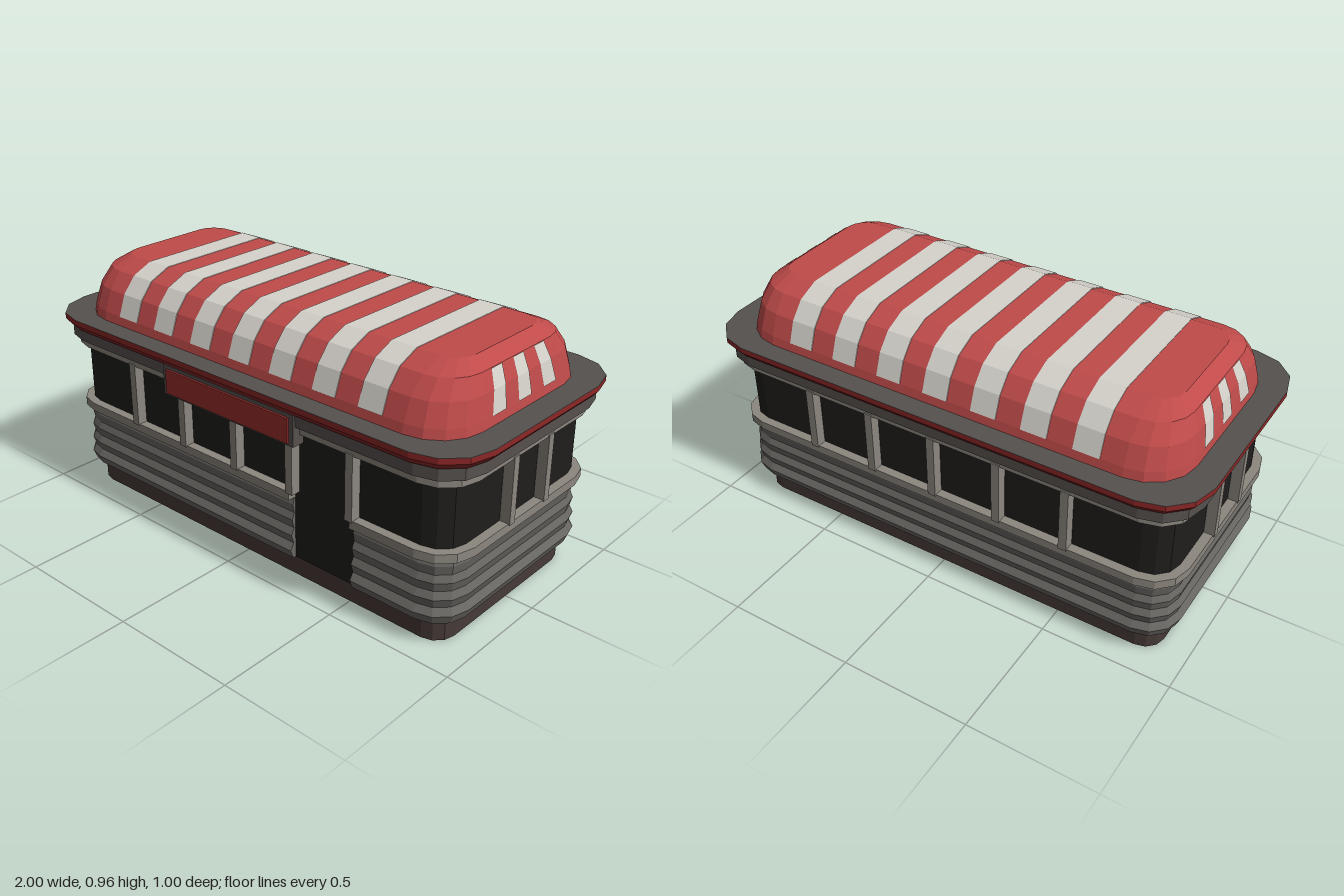
import * as THREE from 'three';

const paint = (color) => new THREE.MeshStandardMaterial({ color, flatShading: true, side: THREE.DoubleSide });
const mats = {
  plinth: paint(0x463a37), ribs: paint(0x686662), chrome: paint(0x8c877f), glass: paint(0x1f1e1d),
  cornice: paint(0x56514e), eave: paint(0x8c2626), dome: paint(0xbf4b4a), stripe: paint(0xd6d3cc), sign: paint(0x9c2e2e),
};
const CORE_X = 0.81, CORE_Z = 0.31;   // corner centres shared by all wall bands
const DOOR = [0.265, 0.54];           // doorway span on the front wall

// Rounded rectangle outline; with a gap it is an open path broken on the front side.
function outline(hx, hz, r, segs, gap) {
  const pts = [];
  if (gap) pts.push([gap[0], hz]);
  [[-1, 1], [-1, -1], [1, -1], [1, 1]].forEach(([sx, sz], c) => {
    for (let k = 0; k <= segs; k++) {
      const a = (c + 1 + k / segs) * Math.PI / 2;
      pts.push([sx * (hx - r) + r * Math.cos(a), sz * (hz - r) + r * Math.sin(a)]);
    }
  });
  if (gap) pts.push([gap[1], hz]);
  return pts;
}

// Skins a stack of outlines; levels are [halfX, halfZ, radius, y].
function loft(levels, { segs = 3, gap = null, capTop = false, capBottom = false } = {}) {
  const pos = [], index = [];
  const n = outline(1, 1, 0.1, segs, gap).length;
  levels.forEach(([hx, hz, r, y]) => outline(hx, hz, r, segs, gap).forEach(([x, z]) => pos.push(x, y, z)));
  for (let j = 0; j < levels.length - 1; j++) {
    for (let i = 0; i < (gap ? n - 1 : n); i++) {
      const a = j * n + i, b = j * n + (i + 1) % n;
      index.push(a, a + n, b, b, a + n, b + n);
    }
  }
  const cap = (level, up) => {
    const c = pos.length / 3, s = level * n;
    pos.push(0, levels[level][3], 0);
    for (let i = 0; i < n; i++) {
      const a = s + i, b = s + (i + 1) % n;
      index.push(c, up ? b : a, up ? a : b);
    }
  };
  if (capTop) cap(levels.length - 1, true);
  if (capBottom) cap(0, false);
  const g = new THREE.BufferGeometry();
  g.setAttribute('position', new THREE.Float32BufferAttribute(pos, 3));
  g.setIndex(index);
  const flat = g.toNonIndexed();
  flat.computeVertexNormals();
  return flat;
}

// Wall band from a profile of [offset from core, y].
const band = (profile, opts) => loft(profile.map(([r, y]) => [CORE_X + r, CORE_Z + r, r, y]), opts);

export function createModel() {
  const model = new THREE.Group();
  const add = (name, geo, mat, parent = model) => {
    const m = new THREE.Mesh(geo, mat);
    m.name = name;
    parent.add(m);
    return m;
  };
  const box = (name, x0, x1, y0, y1, z0, z1, mat, parent) =>
    add(name, new THREE.BoxGeometry(x1 - x0, y1 - y0, z1 - z0), mat, parent)
      .position.set((x0 + x1) / 2, (y0 + y1) / 2, (z0 + z1) / 2);

  // Plinth and dark inner body, which shows as the windows and the door
  add('plinth', band([[0.08, 0], [0.08, 0.095]], { capBottom: true }), mats.plinth);
  add('windowsAndDoor', band([[0.105, 0.095], [0.105, 0.625]], { capTop: true, capBottom: true }), mats.glass);

  // Ribbed lower wall and sill, both interrupted by the doorway
  const ribs = [[0.08, 0.095], [0.118, 0.095]];
  for (let i = 0; i < 4; i++) {
    ribs.push([0.132 - i * 0.005, 0.13 + i * 0.0615], [0.115 - i * 0.002, 0.1565 + i * 0.0615]);
  }
  const sill = [[0.1, 0.341], [0.14, 0.341], [0.14, 0.375], [0.1, 0.375]];
  const cutBand = (name, profile, mat) => {
    const g = new THREE.Group();
    g.name = name;
    model.add(g);
    add(name + 'Skin', band(profile, { gap: DOOR }), mat, g);
    const section = profile.map(([r, y]) => new THREE.Vector2(CORE_Z + r, y));
    section.push(new THREE.Vector2(CORE_Z + 0.08, profile.at(-1)[1]));
    DOOR.forEach((x) => {
      const jamb = new THREE.ShapeGeometry(new THREE.Shape(section)).rotateY(-Math.PI / 2);
      add(name + 'Jamb', jamb.translate(x, 0, 0), mat, g);
    });
  };
  cutBand('ribbedWall', ribs, mats.ribs);
  cutBand('sill', sill, mats.chrome);

  // Header, cornice and flared eave
  add('header', band([[0.1, 0.617], [0.14, 0.617], [0.14, 0.655]]), mats.chrome);
  add('cornice', band([[0.1, 0.653], [0.163, 0.653], [0.163, 0.702]]), mats.cornice);
  add('eave', band([[0.16, 0.7], [0.17, 0.7], [0.19, 0.724], [0.19, 0.745]]), mats.eave);
  add('roofDeck', band([[0.19, 0.744], [0.19, 0.746]], { capTop: true }), mats.cornice);

  // Window posts
  const posts = new THREE.Group();
  posts.name = 'windowPosts';
  model.add(posts);
  for (const s of [-1, 1]) {
    for (let i = -2; i <= 2; i++) {
      const post = add('windowPost', new THREE.BoxGeometry(0.032, 0.255, 0.045), mats.chrome, posts);
      post.position.set(i * 0.27, 0.4975, s * 0.4325);
    }
    for (const z of [-0.105, 0.105]) {
      const post = add('endWindowPost', new THREE.BoxGeometry(0.045, 0.255, 0.03), mats.chrome, posts);
      post.position.set(s * 0.9325, 0.4975, z);
    }
  }

  // Sign board over the front windows
  box('signFrame', -0.325, 0.32, 0.58, 0.7, 0.43, 0.482, mats.cornice);
  box('signPanel', -0.305, 0.3, 0.59, 0.685, 0.48, 0.49, mats.sign);

  // Domed roof
  const dome = [
    [0.905, 0.42, 0.18, 0.745], [0.9, 0.413, 0.175, 0.78], [0.885, 0.383, 0.16, 0.86],
    [0.86, 0.33, 0.13, 0.922], [0.81, 0.245, 0.08, 0.958],
  ];
  add('domeRoof', loft(dome, { segs: 4, capTop: true }), mats.dome);

  // Stripes across the dome
  const lift = 0.003;
  const arch = dome.slice(1).map(([, hz, , y]) => [hz + lift, y + (y > 0.8 ? 0.002 : 0)]);
  const archShape = new THREE.Shape([
    ...arch.map(([z, y]) => new THREE.Vector2(z, y)),
    ...arch.map(([z, y]) => new THREE.Vector2(-z, y)).reverse(),
  ]);
  for (let i = -3; i <= 3; i++) {
    const g = new THREE.ExtrudeGeometry(archShape, { depth: 0.1, bevelEnabled: false });
    add('roofStripe', g.translate(0, 0, -0.05).rotateY(-Math.PI / 2).translate(i * 0.197, 0, 0), mats.stripe);
  }

  // Short tapering stripes on both dome ends
  for (const s of [-1, 1]) {
    for (const [b0, b1, t0, t1] of [[-0.187, -0.112, -0.152, -0.093], [-0.037, 0.037, -0.03, 0.03], [0.112, 0.187, 0.093, 0.152]]) {
      const g = new THREE.PlaneGeometry(1, 1, 1, 2);
      const p = g.attributes.position;
      for (let i = 0; i < p.count; i++) {
        const [hx, , , y] = dome[Math.round((p.getY(i) + 0.5) * 2) + 1];
        const t = (y - 0.78) / 0.142;
        const u = 0.5 - s * p.getX(i);
        const z0 = THREE.MathUtils.lerp(b0, t0, t), z1 = THREE.MathUtils.lerp(b1, t1, t);
        p.setXYZ(i, s * (hx + lift), y, THREE.MathUtils.lerp(z0, z1, u));
      }
      g.computeVertexNormals();
      add('endStripe', g, mats.stripe);
    }
  }
  return model;
}
